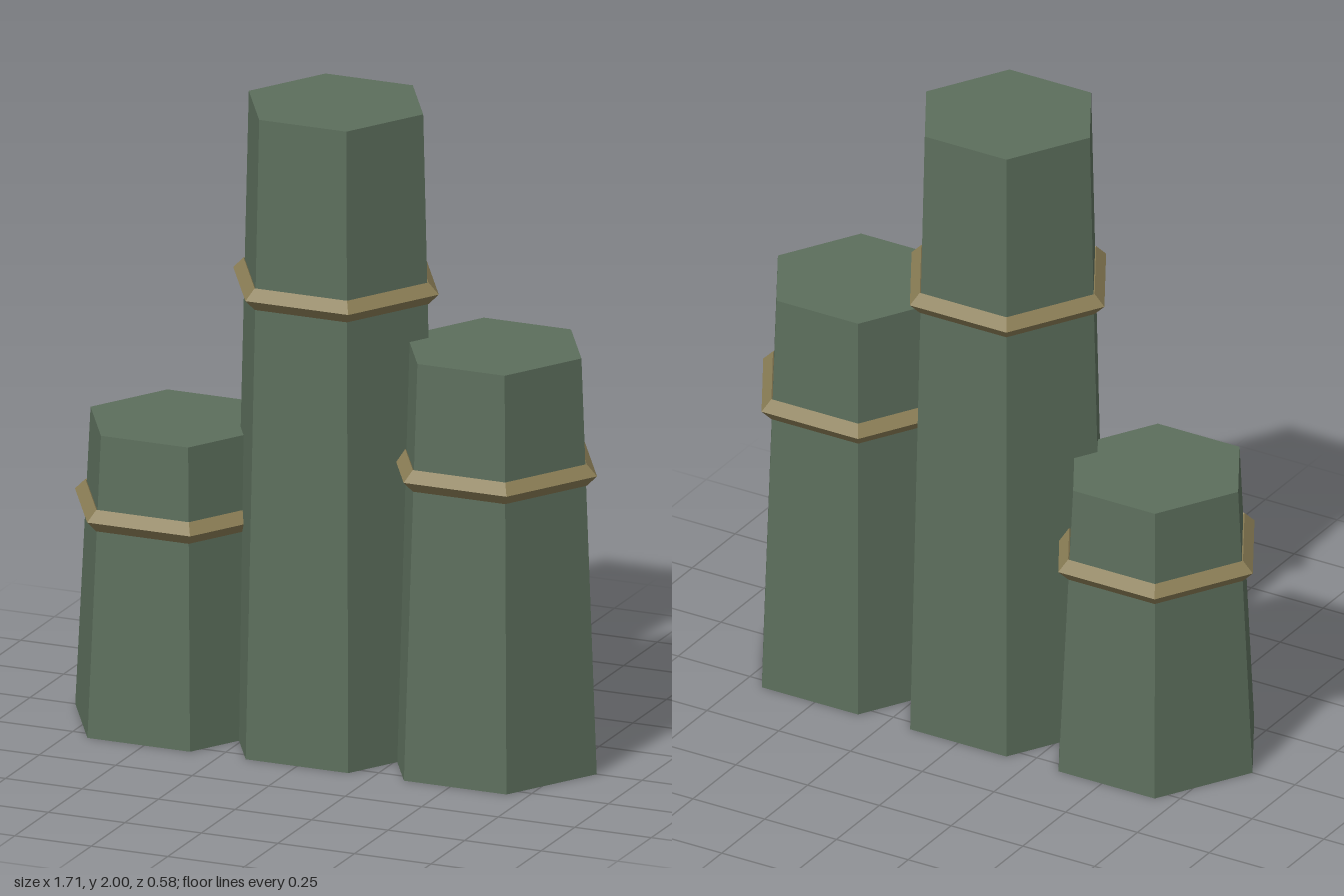
import * as THREE from 'three';

export function createModel() {
  const model = new THREE.Group();
  const stone = new THREE.MeshStandardMaterial({ color: 0x5c6e5c, flatShading: true });
  stone.name = 'green stone';
  const brass = new THREE.MeshStandardMaterial({ color: 0x8a7d55, flatShading: true });
  brass.name = 'dull brass';

  // One tapered hexagonal column with a diamond-section band at 72% of its height
  function addColumn(name, x, height) {
    const group = new THREE.Group();
    group.name = name;
    group.position.x = x;

    const shaft = new THREE.Mesh(new THREE.CylinderGeometry(0.285, 0.335, height, 6), stone);
    shaft.name = 'shaft';
    shaft.rotation.y = Math.PI / 6;
    shaft.position.y = height / 2;

    const band = new THREE.Mesh(new THREE.TorusGeometry(0.302, 0.034, 4, 6), brass);
    band.name = 'band';
    band.rotation.x = Math.PI / 2;
    band.position.y = height * 0.72;

    group.add(shaft, band);
    model.add(group);
  }

  addColumn('middleColumn', 0, 2);
  addColumn('leftColumn', 0.517, 1.3);
  addColumn('rightColumn', -0.517, 0.94);
  return model;
}
